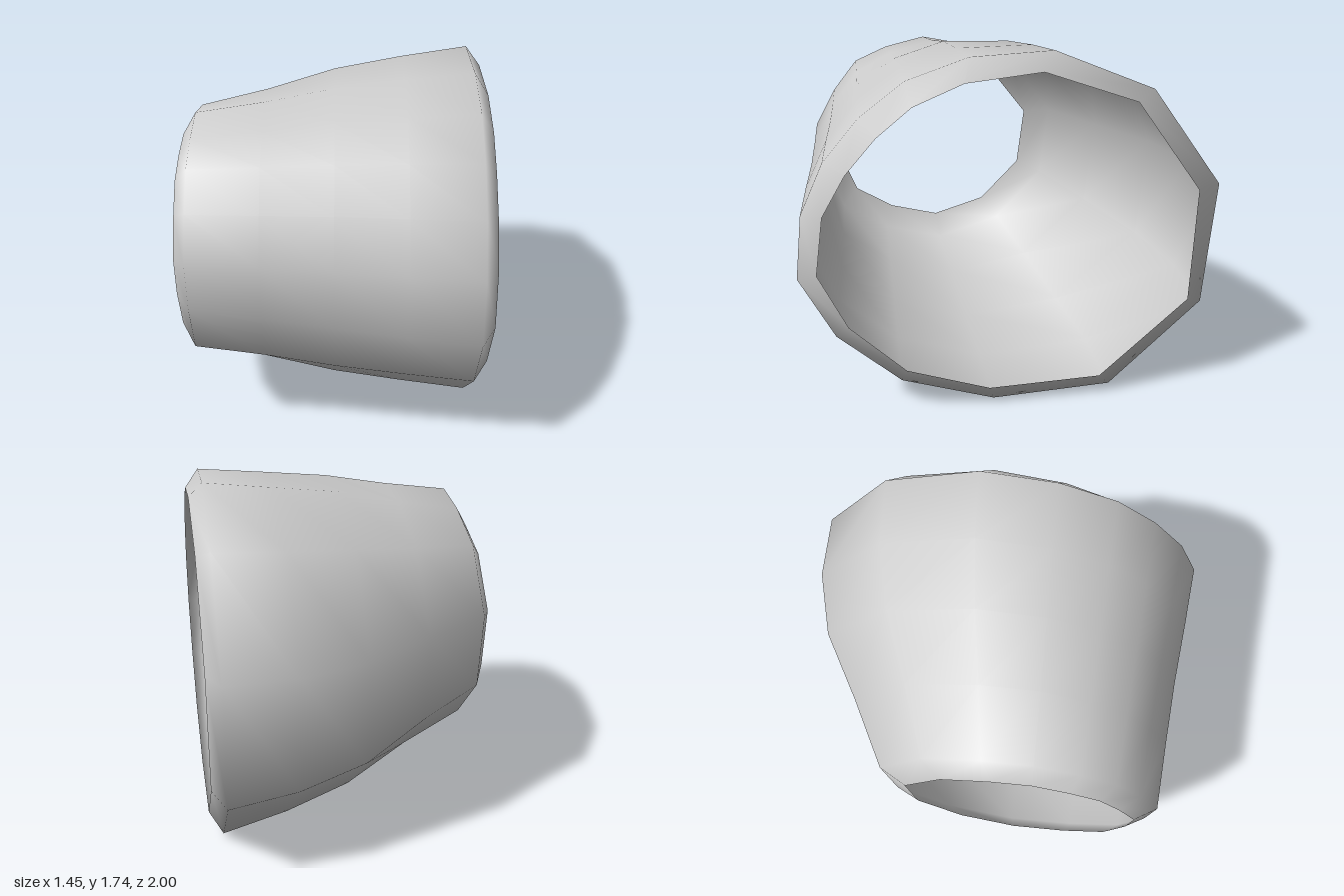
import * as THREE from 'three';

const mix = THREE.MathUtils.lerp;

// Cross-sections as [z, y], all starting at the top and running towards the back
const wideRim = [
  [0.23, 1.625], [-0.12, 1.66], [-0.555, 1.505], [-0.875, 1.065], [-0.86, 0.495], [-0.43, 0.11], [0.12, 0.1],
  [0.52, 0.24], [0.78, 0.495], [0.91, 0.77], [0.87, 1.05], [0.76, 1.24], [0.62, 1.4], [0.46, 1.53],
];
const wideBody = [
  [0.2, 1.725], [-0.18, 1.74], [-0.65, 1.545], [-1, 1.065], [-0.955, 0.445], [-0.5, 0.02], [0.09, 0],
  [0.54, 0.15], [0.84, 0.42], [1, 0.73], [0.965, 1.04], [0.855, 1.28], [0.69, 1.475], [0.485, 1.63],
];
const narrowRim = [
  [0.265, 1.44], [0.07, 1.4], [-0.16, 1.305], [-0.345, 1.065], [-0.305, 0.75], [-0.085, 0.525], [0.2, 0.44],
  [0.465, 0.51], [0.67, 0.635], [0.755, 0.85], [0.775, 1.05], [0.685, 1.21], [0.58, 1.34], [0.44, 1.4],
];
// The body just behind the narrow rim is the rim enlarged about its middle
const narrowBody = narrowRim.map(([z, y]) => [0.2 + (z - 0.215) * 1.214, 0.9325 + (y - 0.94) * 1.235]);

// Blend of the two body sections; back and front flare at different rates
function section(backFlare, frontFlare, heightFlare) {
  return narrowBody.map(([z, y], i) => {
    const [wz, wy] = wideBody[i];
    const flare = mix(backFlare, frontFlare, (wz + 1) / 2);
    return [mix(z, wz, flare), mix(y, wy, heightFlare)];
  });
}

// Smooth open skin through the cross-sections
function loft(rings) {
  const n = rings[0].points.length;
  const positions = [];
  const indices = [];
  rings.forEach(({ x, points }, r) => {
    points.forEach(([z, y], i) => {
      positions.push(x, y, z);
      if (r === rings.length - 1) return;
      const a = r * n + i;
      const b = r * n + ((i + 1) % n);
      indices.push(a, a + n, b, b, a + n, b + n);
    });
  });
  const geometry = new THREE.BufferGeometry();
  geometry.setAttribute('position', new THREE.Float32BufferAttribute(positions, 3));
  geometry.setIndex(indices);
  geometry.computeVertexNormals();
  return geometry;
}

export function createModel() {
  const model = new THREE.Group();
  const grey = new THREE.MeshStandardMaterial({ color: 0xcccccc, side: THREE.DoubleSide });
  grey.name = 'light grey';

  // Flared sleeve, open at both ends, with turned-in rims
  const sleeve = new THREE.Mesh(loft([
    { x: -0.725, points: narrowRim },
    { x: -0.66, points: narrowBody },
    { x: -0.33, points: section(0.37, 0.17, 0.27) },
    { x: 0, points: section(0.77, 0.38, 0.62) },
    { x: 0.33, points: section(0.97, 0.71, 0.82) },
    { x: 0.66, points: wideBody },
    { x: 0.725, points: wideRim },
  ]), grey);
  sleeve.name = 'sleeve';
  model.add(sleeve);
  return model;
}
